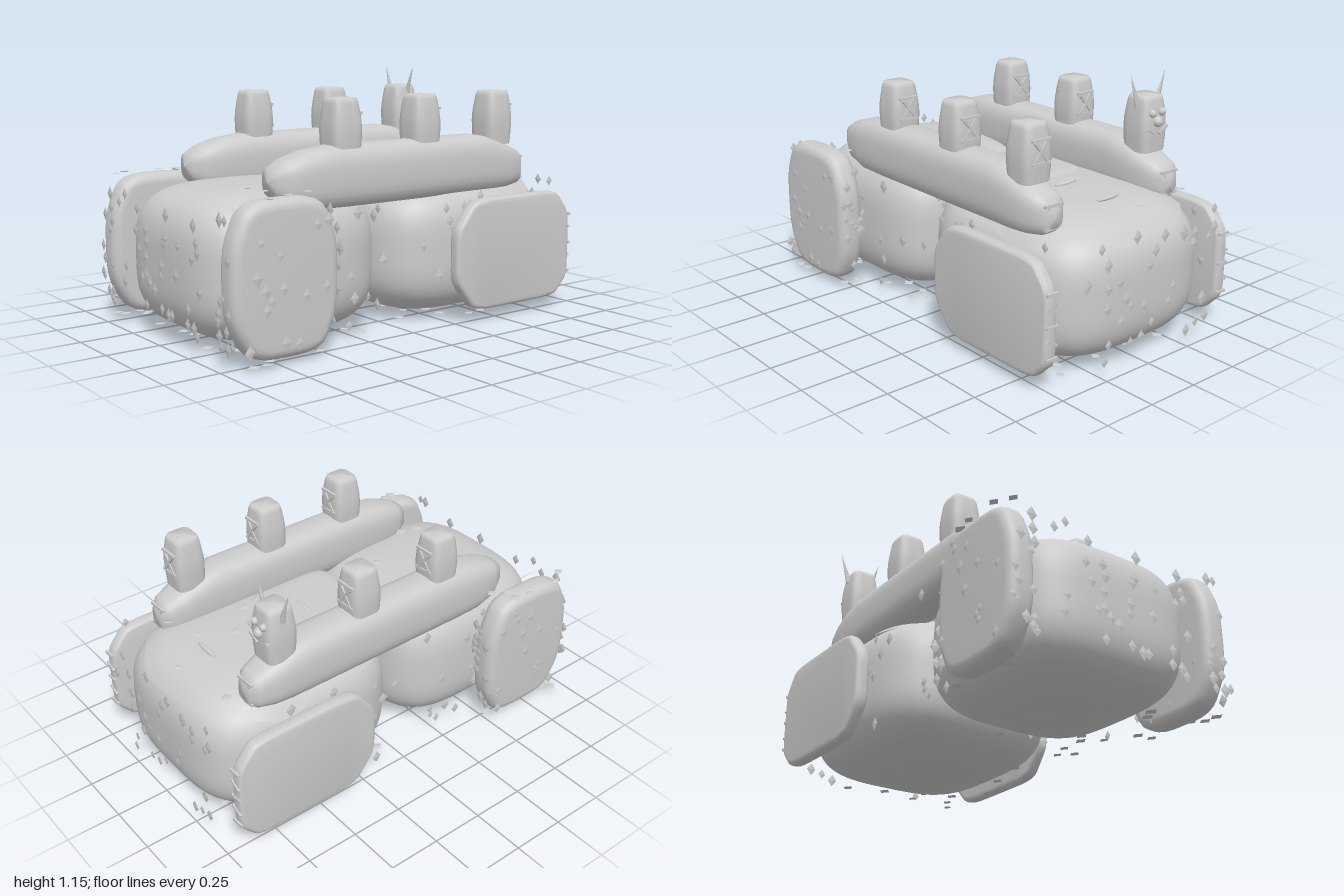
import * as THREE from 'three';
import { toCreasedNormals, mergeVertices } from 'three/addons/utils/BufferGeometryUtils.js';

const material = new THREE.MeshStandardMaterial({ color: 0xcccccc });
const thinMaterial = new THREE.MeshStandardMaterial({ color: 0xcccccc, side: THREE.DoubleSide });

function add(parent, name, geometry, x = 0, y = 0, z = 0, mat = material) {
  const mesh = new THREE.Mesh(geometry, mat);
  mesh.name = name;
  mesh.position.set(x, y, z);
  parent.add(mesh);
  return mesh;
}

// Small seeded generator for the scattered flakes
let seed = 7;
function random() {
  seed = (seed * 16807) % 2147483647;
  return seed / 2147483647;
}

// Soft pillow block: a box whose points are pulled onto a superellipsoid
function pillow(hx, hy, hz, n = 3.5) {
  let g = new THREE.BoxGeometry(2, 2, 2, 20, 20, 20);
  g.deleteAttribute('uv');
  g.deleteAttribute('normal');
  g = mergeVertices(g);
  const p = g.attributes.position;
  for (let i = 0; i < p.count; i++) {
    const v = [p.getX(i), p.getY(i), p.getZ(i)];
    const r = v.reduce((s, c) => s + Math.abs(c) ** n, 0) ** (1 / n);
    p.setXYZ(i, (v[0] / r) * hx, (v[1] / r) * hy, (v[2] / r) * hz);
  }
  g.computeVertexNormals();
  return g;
}

// Draped cover: upper cap of a pillow with a wavy lower lip
function drape(hx, hy, hz, lip, n = 3.5) {
  const g = new THREE.SphereGeometry(1, 72, 16, 0, Math.PI * 2, 0, Math.PI / 2);
  const p = g.attributes.position, uv = g.attributes.uv;
  for (let i = 0; i < p.count; i++) {
    const a = Math.round(uv.getX(i) * 72) / 72 * Math.PI * 2;
    const edge = lip + 0.07 * Math.sin(a * 5) + 0.04 * Math.sin(a * 8 + 1);
    const c = Math.cos(a), s = Math.sin(a);
    const k = (Math.abs(c) ** n + Math.abs(s) ** n) ** (-1 / n);
    const r = (1 - uv.getY(i)) * (1 - edge ** n) ** (1 / n);
    p.setXYZ(i, -c * k * r * hx, (1 - r ** n) ** (1 / n) * hy, s * k * r * hz);
  }
  g.computeVertexNormals();
  return g;
}

// Side outline [z, y] extruded along x with a rounded edge, centred on x = 0
function sidePlate(points, width, bevel, round) {
  const v = points.map(([z, y]) => new THREE.Vector2(-z, y));
  const shape = new THREE.Shape();
  v.forEach((b, i) => {
    const a = v[(i + v.length - 1) % v.length], c = v[(i + 1) % v.length];
    const start = b.clone().lerp(a, round), end = b.clone().lerp(c, round);
    if (i === 0) shape.moveTo(start.x, start.y);
    else shape.lineTo(start.x, start.y);
    shape.quadraticCurveTo(b.x, b.y, end.x, end.y);
  });
  shape.closePath();
  const g = new THREE.ExtrudeGeometry(shape, {
    depth: width - 2 * bevel, bevelThickness: bevel, bevelSize: bevel,
    bevelOffset: -bevel, bevelSegments: 5, curveSegments: 4,
  });
  g.translate(0, 0, bevel - width / 2);
  g.rotateY(Math.PI / 2);
  return toCreasedNormals(g, 0.7);
}

// Rounded-square loops along z from stations [z, half width, bottom, top]
function armGeometry() {
  const stations = [[-0.775, 0.001, 0.67, 0.672], [-0.77, 0.045, 0.62, 0.73],
    [-0.74, 0.076, 0.6, 0.765], [-0.66, 0.096, 0.585, 0.8], [-0.57, 0.104, 0.58, 0.835],
    [-0.46, 0.106, 0.58, 0.853], [0, 0.106, 0.58, 0.853], [0.36, 0.106, 0.58, 0.853],
    [0.5, 0.102, 0.583, 0.836], [0.6, 0.088, 0.61, 0.805], [0.655, 0.06, 0.655, 0.775],
    [0.672, 0.001, 0.715, 0.717]];
  const g = new THREE.LatheGeometry(stations.map(([z]) => new THREE.Vector2(1, z)), 36);
  const p = g.attributes.position;
  for (let i = 0; i < p.count; i++) {
    const [z, w, low, high] = stations[i % stations.length];
    const c = p.getZ(i), s = p.getX(i);
    const k = (Math.abs(c) ** 3 + Math.abs(s) ** 3) ** (-1 / 3);
    p.setXYZ(i, c * k * w, (low + high) / 2 + (s * k * (high - low)) / 2, z);
  }
  g.computeVertexNormals();
  return g;
}

// Rounded square post turned from a profile
function postGeometry() {
  const profile = [[0.07, 0.8], [0.074, 0.86], [0.076, 0.91], [0.074, 0.95],
    [0.069, 0.99], [0.063, 1.03], [0.056, 1.052], [0, 1.056]];
  const g = new THREE.LatheGeometry(profile.map(([r, y]) => new THREE.Vector2(r, y)), 32);
  const p = g.attributes.position;
  for (let i = 0; i < p.count; i++) {
    const x = p.getX(i), z = p.getZ(i), r = Math.hypot(x, z);
    if (r < 1e-6) continue;
    const k = ((Math.abs(x) / r) ** 5 + (Math.abs(z) / r) ** 5) ** (-1 / 5);
    p.setX(i, x * k);
    p.setZ(i, z * k);
  }
  g.computeVertexNormals();
  return g;
}

// Diamond flakes spread over the planes bounding a part
const flakeGeometry = new THREE.OctahedronGeometry(1).scale(0.024, 0.031, 0.004);
function scatter(parent, centre, half, counts) {
  const group = new THREE.Group();
  group.name = 'flakes';
  parent.add(group);
  counts.forEach(([axis, sign, count]) => {
    for (let i = 0; i < count; i++) {
      const pos = centre.map((c, k) =>
        c + half[k] * (k === axis ? sign : (random() * 2 - 1) * 0.82));
      const flake = add(group, 'flake', flakeGeometry, ...pos);
      if (axis === 0) flake.rotation.y = Math.PI / 2;
      if (axis === 1) flake.rotation.x = Math.PI / 2;
      flake.scale.setScalar(0.75 + random() * 0.4);
    }
  });
}

// Raised hourglass trim, facing -z
function trim(parent, x, y, z) {
  const group = new THREE.Group();
  group.name = 'trim';
  group.position.set(x, y, z);
  [[0.05, 0.1, 0], [-0.05, 0.1, 0], [0, 0.11, 0.9], [0, 0.11, -0.9]].forEach(([by, w, turn]) => {
    add(group, 'trimBar', new THREE.BoxGeometry(w, 0.012, 0.012), 0, by, 0).rotation.z = turn;
  });
  parent.add(group);
}

export function createModel() {
  const model = new THREE.Group();

  // Front and rear bodies
  add(model, 'frontBody', pillow(0.45, 0.33, 0.465), 0, 0.345, 0.52);
  add(model, 'rearBody', pillow(0.47, 0.325, 0.515), 0, 0.335, -0.47);
  add(model, 'rearCover', drape(0.48, 0.338, 0.522, 0.68), 0, 0.335, -0.47, thinMaterial);
  scatter(model, [0, 0.345, 0.52], [0.455, 0.335, 0.47],
    [[2, 1, 34], [0, 1, 24], [0, -1, 24], [1, -1, 24], [1, 1, 10], [2, -1, 10]]);
  scatter(model, [0, 0.34, -0.47], [0.485, 0.335, 0.523],
    [[2, -1, 34], [0, 1, 24], [0, -1, 24], [1, -1, 26], [1, 1, 12]]);

  // Seat pad bridging the two bodies, with small ridges along the centre
  add(model, 'seatPad', pillow(0.24, 0.045, 0.235, 6), 0, 0.635, -0.145);
  [-0.73, -0.47, -0.2].forEach((z) => {
    add(model, 'topRidge', new THREE.SphereGeometry(1, 16, 8).scale(0.065, 0.01, 0.014), 0, 0.676, z);
  });

  // Wheels, arms and posts, mirrored left and right
  const frontWheel = sidePlate([[0.9, 0.68], [0.54, 0.68], [0.46, 0.5], [0.46, 0.2],
    [0.54, 0.025], [0.88, 0.025], [0.98, 0.2], [0.98, 0.5]], 0.125, 0.045, 0.35);
  const rearWheel = sidePlate([[-0.33, 0.575], [-0.86, 0.575], [-0.95, 0.46], [-0.95, 0.15],
    [-0.86, 0.055], [-0.33, 0.055], [-0.22, 0.2], [-0.22, 0.44]], 0.066, 0.022, 0.22);
  const arm = armGeometry();
  const post = postGeometry();

  for (const side of [1, -1]) {
    add(model, 'frontWheel', frontWheel, side * 0.515, 0, 0);
    scatter(model, [side * 0.515, 0.352, 0.72], [0.072, 0.332, 0.262],
      [[0, side, 14], [2, 1, 14], [2, -1, 14], [1, 1, 6], [1, -1, 6]]);
    add(model, 'rearWheel', rearWheel, side * 0.518, 0, 0);
    for (let i = 0; i < 5; i++) {
      add(model, 'rearWheelTrim', new THREE.BoxGeometry(0.06, 0.012, 0.012),
        side * 0.518, 0.17 + i * 0.07, -0.95).rotation.z = i % 2 ? 0.5 : 0;
    }

    // Long arm with a row of posts
    add(model, 'arm', arm, side * 0.345, 0, 0);
    trim(model, side * 0.345, 0.68, -0.765);
    [0.29, -0.16, -0.61].forEach((z) => {
      add(model, 'post', post, side * 0.345, 0, z);
      if (side > 0 || z > -0.5) trim(model, side * 0.345, 0.935, z - 0.075);
    });
  }

  // Horned rear post with a small raised face
  for (const side of [1, -1]) {
    const x = -0.35 + side * 0.085;
    const horn = add(model, 'horn', new THREE.ConeGeometry(0.018, 0.16, 8), x, 1.075, -0.615);
    horn.rotation.z = -side * 0.33;
    horn.scale.z = 0.6;
    add(model, 'eye', new THREE.SphereGeometry(0.018, 12, 8), -0.345 + side * 0.03, 0.98, -0.682);
    const whisker = add(model, 'whisker', new THREE.BoxGeometry(0.06, 0.012, 0.012),
      -0.345 + side * 0.035, 0.9, -0.686);
    whisker.rotation.z = side * 0.5;
  }
  add(model, 'muzzle', new THREE.SphereGeometry(0.024, 12, 8), -0.345, 0.94, -0.686);

  return model;
}
